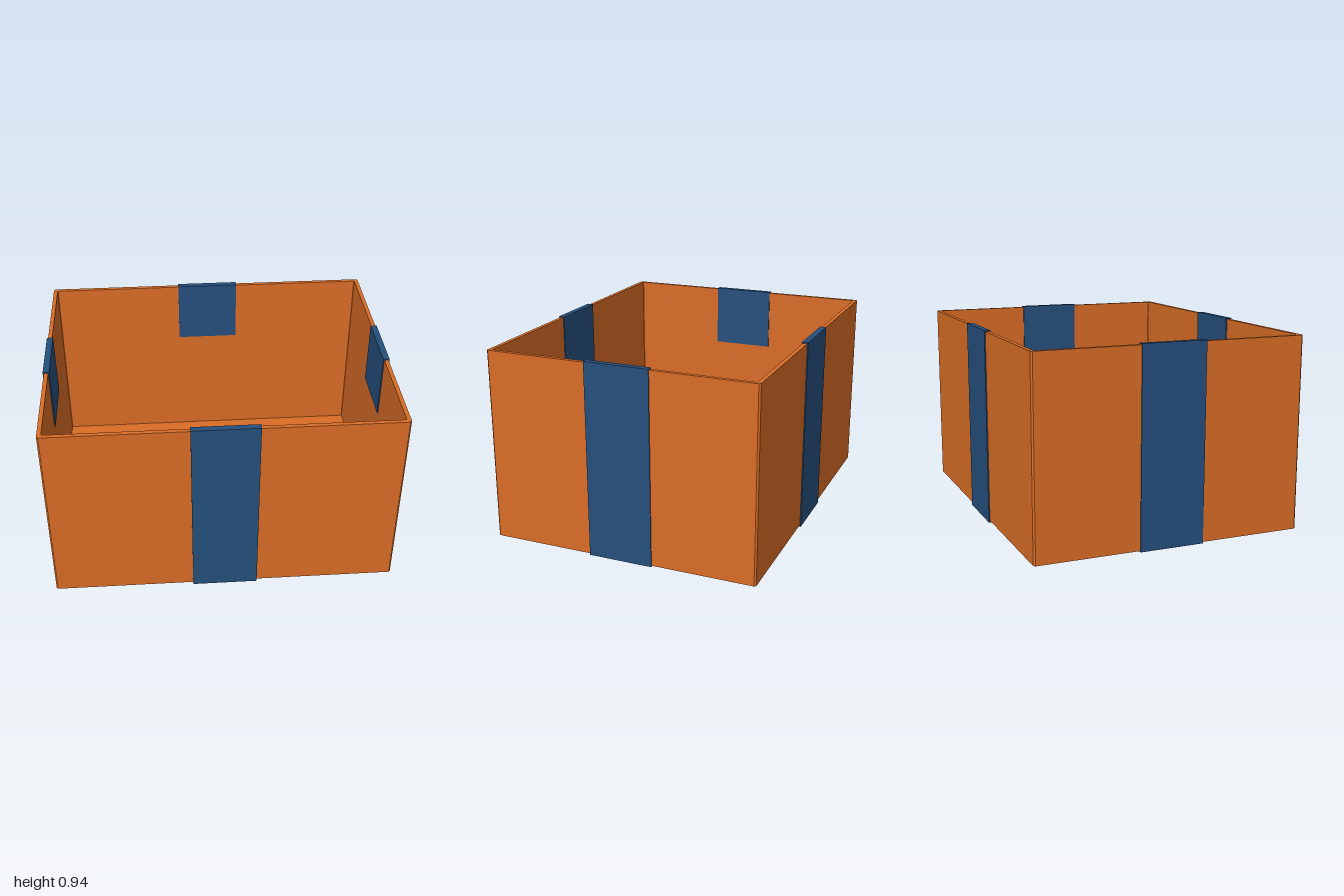
import * as THREE from 'three';

export function createModel() {
  const orange = new THREE.MeshStandardMaterial({ color: 0xd96c26 });
  orange.name = 'orange card';
  const blue = new THREE.MeshStandardMaterial({ color: 0x254f7c });
  blue.name = 'blue ribbon';

  const HX = 0.817, HZ = 0.651;      // outer half sizes of the box
  const BASE = 0.01, TOP = 0.93;     // box height range
  const WALL = 0.02, T = 0.005;      // wall and ribbon thickness
  const WIDTH = 0.31, FOLD = 0.31;   // ribbon width, length tucked inside

  const group = new THREE.Group();
  group.name = 'openGiftBox';
  const box = new THREE.Group();
  box.name = 'turnedBox';
  box.rotation.y = THREE.MathUtils.degToRad(20.7);
  group.add(box);

  const add = (name, geometry, material, parent = box) => {
    const mesh = new THREE.Mesh(geometry, material);
    mesh.name = name;
    parent.add(mesh);
    return mesh;
  };
  // rectangle with slightly cut corners
  const outline = (hx, hz, cut) => {
    const pts = [];
    for (const [sx, sz] of [[1, 1], [-1, 1], [-1, -1], [1, -1]]) {
      const a = new THREE.Vector2(sx * hx, sz * (hz - cut));
      const b = new THREE.Vector2(sx * (hx - cut), sz * hz);
      pts.push(...(sx * sz > 0 ? [a, b] : [b, a]));
    }
    return pts;
  };
  const extrudeUp = (shape, height) =>
    new THREE.ExtrudeGeometry(shape, { depth: height, bevelEnabled: false }).rotateX(-Math.PI / 2);

  // Four walls as one hollow ring, and the floor inside it
  const ring = new THREE.Shape(outline(HX, HZ, 0.008));
  ring.holes.push(new THREE.Path(outline(HX - WALL, HZ - WALL, 0.002)));
  add('walls', extrudeUp(ring, TOP - BASE), orange).position.y = BASE;
  const floor = new THREE.Shape(outline(HX - WALL, HZ - WALL, 0.002));
  add('floor', extrudeUp(floor, WALL), orange).position.y = BASE;

  // Ribbon on each wall: outside, over the rim and tucked inside
  for (let i = 0; i < 4; i++) {
    const side = new THREE.Group();
    side.name = 'wallRibbon' + (i + 1);
    side.rotation.y = i * Math.PI / 2;
    box.add(side);
    const d = i % 2 ? HX : HZ;
    const strip = (name, y0, y1, z0, z1) =>
      add(name, new THREE.BoxGeometry(WIDTH, y1 - y0, z1 - z0), blue, side)
        .position.set(0, (y0 + y1) / 2, (z0 + z1) / 2);
    strip('outerRibbon', T, TOP + T, d, d + T);
    strip('rimRibbon', TOP, TOP + T, d - WALL, d);
    strip('innerRibbon', TOP - FOLD, TOP + T, d - WALL - T, d - WALL);
  }

  // Crossed ribbons under the floor
  add('longBottomRibbon', new THREE.BoxGeometry(2 * (HX + T), T, WIDTH), blue).position.y = 1.5 * T;
  add('shortBottomRibbon', new THREE.BoxGeometry(WIDTH, T, 2 * (HZ + T)), blue).position.y = 0.5 * T;

  return group;
}
